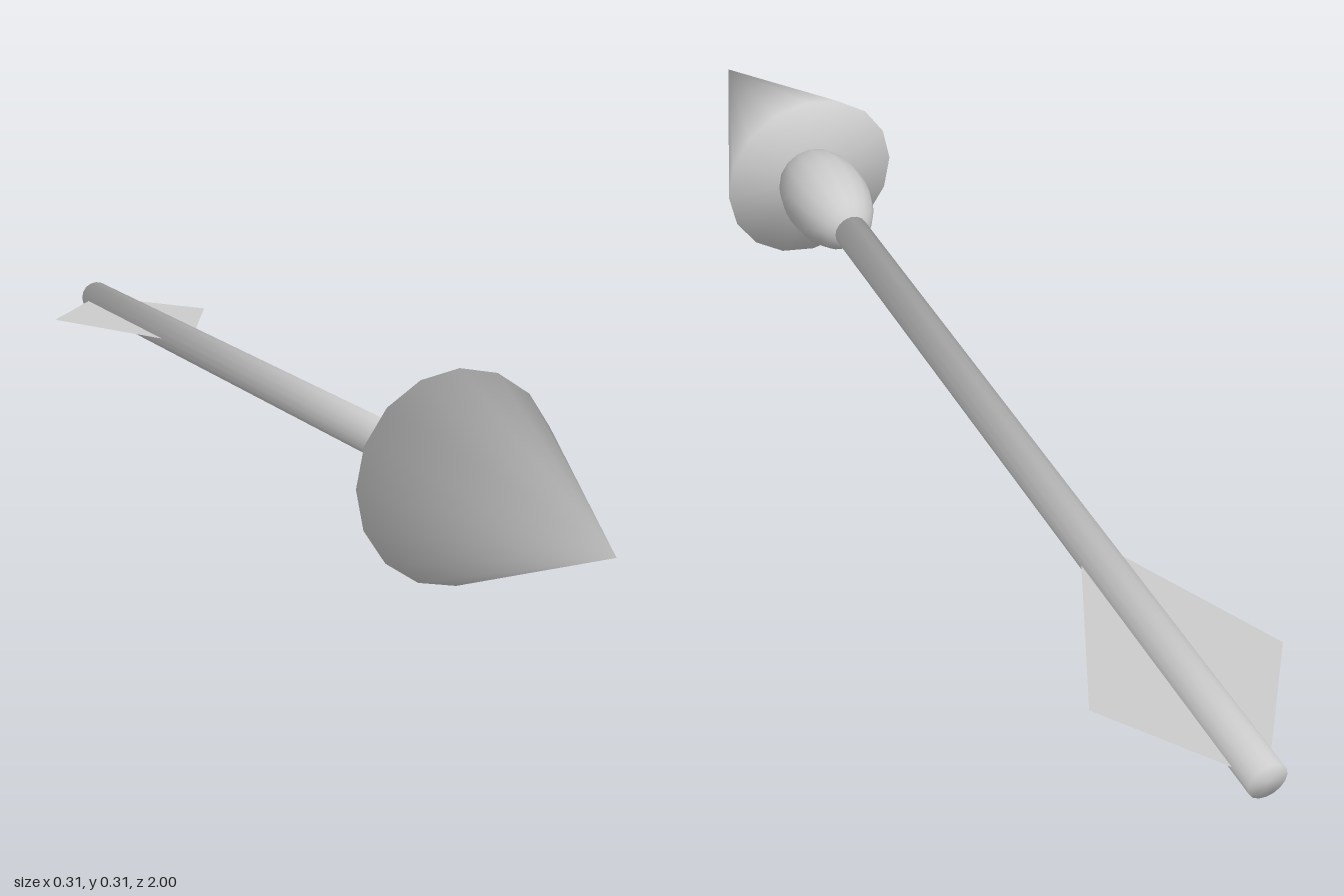
import * as THREE from 'three';

// Blends the normals of a turned solid (axis on y) smoothly around its rims:
// straight along the axis at the centre, leaning towards the cap at the rim.
function softenRims(geometry, lean) {
  const { position, normal } = geometry.attributes;
  const n = new THREE.Vector3();
  for (let i = 0; i < position.count; i++) {
    n.set(position.getX(i), 0, position.getZ(i));
    const end = Math.sign(position.getY(i));
    if (n.length() < 1e-6) n.set(0, end, 0);
    else n.normalize().setY(end * lean).normalize();
    normal.setXYZ(i, n.x, n.y, n.z);
  }
  return geometry;
}

export function createModel() {
  const model = new THREE.Group();
  const axisY = 0.157; // height of the arrow's centre line
  const grey = new THREE.MeshStandardMaterial({ color: 0xcccccc, side: THREE.DoubleSide });
  grey.name = 'plain grey';

  const add = (name, geometry, z) => {
    const mesh = new THREE.Mesh(geometry, grey);
    mesh.name = name;
    mesh.position.set(0, axisY, z);
    model.add(mesh);
  };

  // Solid pointed head with a closed base
  const head = softenRims(new THREE.ConeGeometry(0.157, 0.42, 16), 0.87);
  add('arrowHead', head.rotateX(Math.PI / 2), 0.79);

  // Egg-shaped collar partly inside the head
  add('collar', new THREE.SphereGeometry(1, 16, 16).rotateX(Math.PI / 2).scale(0.075, 0.075, 0.125), 0.505);

  // Long round shaft, softly shaded over its ends
  const shaft = softenRims(new THREE.CylinderGeometry(0.03, 0.03, 1.4, 16), 1);
  add('shaft', shaft.rotateX(Math.PI / 2), -0.3);

  // Flat diamond fletching, lying level and facing up
  const diamond = new THREE.Shape([
    new THREE.Vector2(0, 1),
    new THREE.Vector2(-0.153, 0.79),
    new THREE.Vector2(0, 0.47),
    new THREE.Vector2(0.153, 0.79),
  ]);
  add('fletching', new THREE.ShapeGeometry(diamond).rotateX(-Math.PI / 2), 0);

  return model;
}
